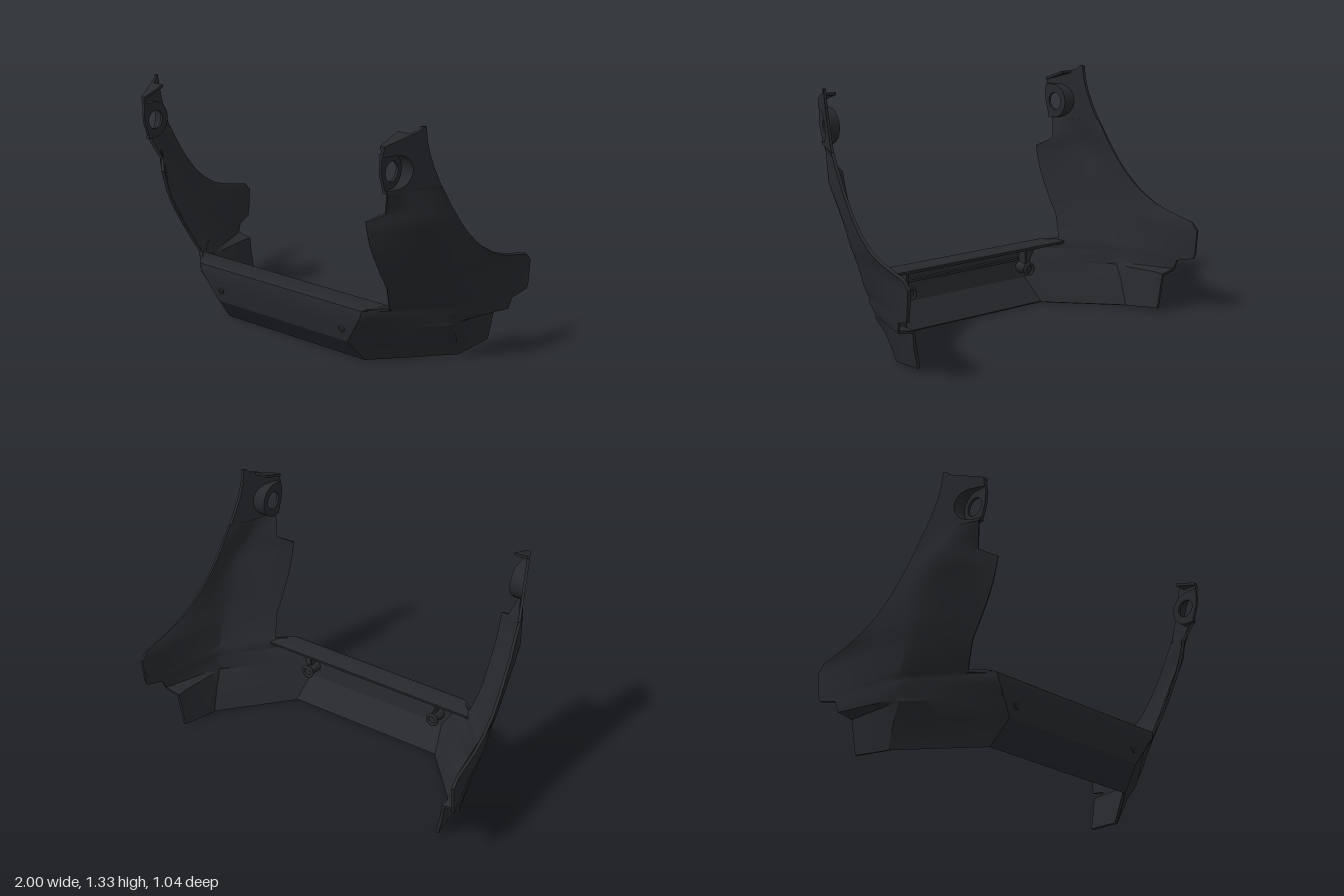
import * as THREE from 'three';
import { mergeVertices, toCreasedNormals } from 'three/addons/utils/BufferGeometryUtils.js';

const material = new THREE.MeshStandardMaterial({ color: 0x26282c, side: THREE.DoubleSide });

function add(parent, name, geometry) {
  const mesh = new THREE.Mesh(geometry, material);
  mesh.name = name;
  parent.add(mesh);
  return mesh;
}

// Thin closed shell from a grid of points, thickened against its normals
function shell(grid, thickness) {
  const rows = grid.length, cols = grid[0].length, n = rows * cols;
  const outer = grid.flat(), index = [], id = (i, j) => i * cols + j;
  for (let i = 0; i < rows - 1; i++) {
    for (let j = 0; j < cols - 1; j++) {
      const a = id(i, j), b = id(i, j + 1), c = id(i + 1, j + 1), d = id(i + 1, j);
      index.push(a, b, c, a, c, d);
    }
  }
  const surface = new THREE.BufferGeometry().setFromPoints(outer);
  surface.setIndex(index);
  surface.computeVertexNormals();
  const normal = new THREE.Vector3();
  const inner = outer.map((p, k) =>
    p.clone().addScaledVector(normal.fromBufferAttribute(surface.attributes.normal, k), -thickness));
  const all = [...index];
  for (let k = 0; k < index.length; k += 3) all.push(index[k] + n, index[k + 2] + n, index[k + 1] + n);
  const edge = (a, b) => all.push(b, a, a + n, b, a + n, b + n);
  for (let j = 0; j < cols - 1; j++) {
    edge(id(0, j), id(0, j + 1));
    edge(id(rows - 1, j + 1), id(rows - 1, j));
  }
  for (let i = 0; i < rows - 1; i++) {
    edge(id(i, cols - 1), id(i + 1, cols - 1));
    edge(id(i + 1, 0), id(i, 0));
  }
  const solid = new THREE.BufferGeometry().setFromPoints([...outer, ...inner]);
  solid.setIndex(all);
  return toCreasedNormals(solid, 0.5);
}

// Side panel sections: y, then x and z of the front edge, the corner and the back edge
const sections = [
  [0.00, 0.48, 0.21, 0.81, -0.16, 0.845, -0.38],
  [0.13, 0.45, 0.32, 0.83, -0.10, 0.865, -0.38],
  [0.21, 0.50, 0.335, 0.85, -0.04, 0.875, -0.385],
  [0.225, 0.505, 0.337, 0.85, -0.04, 0.96, -0.385],
  [0.285, 0.55, 0.35, 0.87, -0.02, 0.972, -0.40],
  [0.31, 0.555, 0.35, 0.87, -0.02, 0.995, -0.50],
  [0.33, 0.56, 0.345, 0.875, -0.01, 1.00, -0.505],
  [0.345, 0.66, 0.25, 0.88, 0.00, 1.00, -0.51],
  [0.47, 0.69, 0.31, 0.89, 0.05, 1.00, -0.52],
  [0.51, 0.69, 0.335, 0.895, 0.07, 1.00, -0.48],
  [0.55, 0.69, 0.36, 0.90, 0.09, 0.99, -0.30],
  [0.585, 0.69, 0.38, 0.90, 0.11, 0.983, -0.20],
  [0.645, 0.69, 0.413, 0.90, 0.14, 0.972, -0.10],
  [0.69, 0.69, 0.435, 0.902, 0.165, 0.965, -0.048],
  [0.735, 0.69, 0.455, 0.904, 0.19, 0.958, 0.00],
  [0.80, 0.69, 0.475, 0.904, 0.235, 0.95, 0.055],
  [0.86, 0.69, 0.49, 0.90, 0.28, 0.945, 0.10],
  [0.90, 0.76, 0.425, 0.89, 0.30, 0.94, 0.128],
  [0.95, 0.78, 0.445, 0.875, 0.33, 0.936, 0.16],
  [1.02, 0.805, 0.47, 0.858, 0.36, 0.93, 0.205],
];

function sidePanel() {
  const { smoothstep } = THREE.MathUtils;
  const grid = sections.map(([y, xf, zf, xc, zc, xb, zb]) => {
    const pts = [new THREE.Vector3(xf, y, zf), new THREE.Vector3(xc, y, zc),
      new THREE.Vector3(xb, y === 0 ? 0.025 : y, zb)];
    const curve = new THREE.CatmullRomCurve3(pts);
    // The corner is sharp low down and rounds out towards the middle
    const round = smoothstep(y, 0.35, 0.75) * (1 - smoothstep(y, 0.86, 1.02));
    return Array.from({ length: 17 }, (_, k) => {
      const t = k / 16;
      const straight = t < 0.5
        ? pts[0].clone().lerp(pts[1], t * 2) : pts[1].clone().lerp(pts[2], t * 2 - 1);
      return straight.lerp(curve.getPoint(t), round);
    });
  });
  return shell(grid, 0.016);
}

// Shapes drawn in (z, y) and extruded inwards from one x rule to another
const tabX = (z, y) => 0.93 - 0.45 * (z - 0.2) + 0.06 * (y - 1.02);
const tabBack = (z, y) => tabX(z, y) - 0.016;
const floorX = () => 0.797;
const floorBack = () => 0.782;
function onTab(shape, outerX, innerX) {
  const geo = new THREE.ExtrudeGeometry(shape, { depth: 1, bevelEnabled: false, curveSegments: 20 });
  const p = geo.attributes.position;
  for (let i = 0; i < p.count; i++) {
    const z = p.getX(i), y = p.getY(i), x = p.getZ(i) < 0.5 ? outerX(z, y) : innerX(z, y);
    p.setXYZ(i, x, y, z);
  }
  geo.deleteAttribute('normal');
  geo.deleteAttribute('uv');
  return toCreasedNormals(mergeVertices(geo), 0.5);
}

// Pocket outline, open towards the front edge, running from bottom to top
function pocketEdge(radius) {
  const arc = Array.from({ length: 13 }, (_, k) => {
    const a = -Math.PI / 2 - Math.PI * k / 12;
    return [0.44 + radius * Math.cos(a), 1.12 + radius * Math.sin(a)];
  });
  return [[0.482, 1.12 - radius], ...arc, [0.508, 1.12 + radius]];
}
const toShape = (points) => new THREE.Shape(points.map(([z, y]) => new THREE.Vector2(z, y)));

function side() {
  const group = new THREE.Group();
  add(group, 'sidePanel', sidePanel());

  const pocket = pocketEdge(0.085);
  const tab = toShape([[0.205, 1.02], [0.47, 1.02], ...pocket, [0.505, 1.255], [0.34, 1.31],
    [0.32, 1.33], [0.305, 1.33], [0.295, 1.26], [0.275, 1.185], [0.242, 1.10]]);
  add(group, 'mountingTab', onTab(tab, tabX, tabBack));

  // Sunken floor with the mounting hole, and the wall around it
  const floor = toShape([...pocket, [0.513, 1.17], [0.508, 1.11]]);
  const hole = new THREE.Path();
  hole.absarc(0.43, 1.12, 0.05, 0, Math.PI * 2, true);
  floor.holes.push(hole);
  add(group, 'pocketFloor', onTab(floor, floorX, floorBack));
  const wall = toShape([...pocket, ...pocketEdge(0.098).reverse()]);
  add(group, 'pocketWall', onTab(wall, tabX, floorBack));

  // Inward lip along the top of the tab
  const lip = toShape([[0.37, 1.285], [0.505, 1.24], [0.505, 1.255], [0.37, 1.3]]);
  add(group, 'topLip', onTab(lip, tabX, floorBack));
  return group;
}

// Front bar sections: y, z and half width
const barProfile = [[0, 0.21, 0.48], [0.13, 0.32, 0.45], [0.21, 0.335, 0.50], [0.30, 0.35, 0.555],
  [0.33, 0.345, 0.56], [0.34, 0.33, 0.575], [0.345, 0.25, 0.66], [0.335, 0.205, 0.66]];

export function createModel() {
  const model = new THREE.Group();
  model.name = 'frontFairing';

  const bar = barProfile.map(([y, z, w]) =>
    Array.from({ length: 9 }, (_, k) => new THREE.Vector3(w * (k / 4 - 1), y, z)));
  add(model, 'frontBar', shell(bar, 0.016));

  // Stiffening rib behind the bar
  add(model, 'rearRib', new THREE.BoxGeometry(0.8, 0.015, 0.03)).position.set(0, 0.25, 0.318);

  for (const s of [1, -1]) {
    const half = side();
    half.name = s > 0 ? 'leftSide' : 'rightSide';
    half.scale.x = s;
    model.add(half);

    // Screw head on the front and its boss behind
    const screw = add(model, 'screw', new THREE.TorusGeometry(0.016, 0.005, 8, 20));
    screw.position.set(s * 0.42, 0.2, 0.332);
    const boss = add(model, 'screwBoss', new THREE.CylinderGeometry(0.022, 0.035, 0.08, 16));
    boss.rotation.x = -Math.PI / 2;
    boss.position.set(s * 0.42, 0.2, 0.28);
    const rim = add(model, 'bossRim', new THREE.TorusGeometry(0.03, 0.009, 8, 20));
    rim.position.set(s * 0.42, 0.2, 0.24);
    add(model, 'bossWeb', new THREE.BoxGeometry(0.012, 0.12, 0.05)).position.set(s * 0.42, 0.25, 0.295);
  }
  return model;
}
